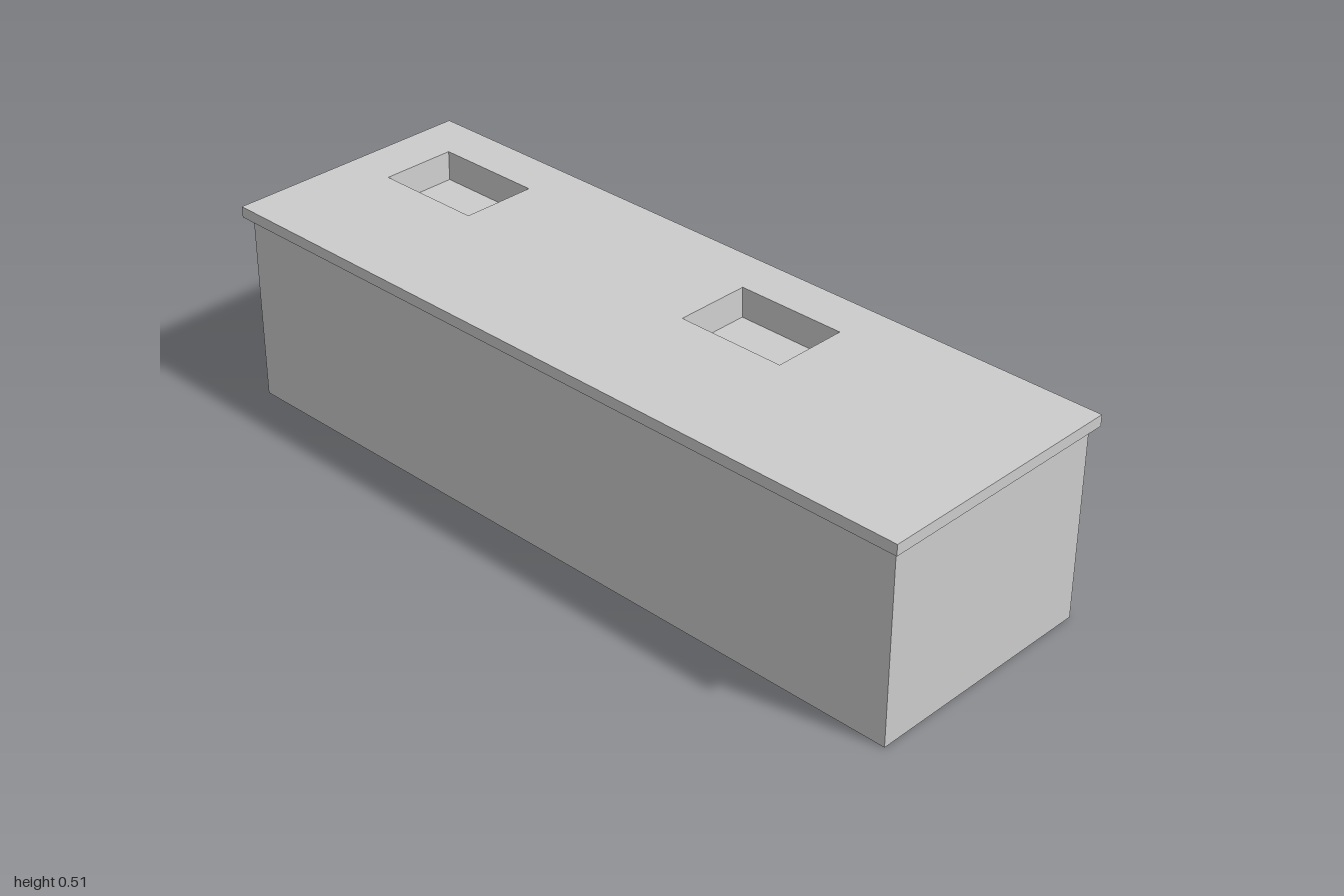
import * as THREE from 'three';

const grey = new THREE.MeshStandardMaterial({ color: 0xcccccc, side: THREE.DoubleSide });

function add(parent, name, geometry, x = 0, y = 0, z = 0) {
  const mesh = new THREE.Mesh(geometry, grey);
  mesh.name = name;
  mesh.position.set(x, y, z);
  parent.add(mesh);
  return mesh;
}

// Box with chosen faces left out (0 +x, 1 -x, 2 +y, 3 -y, 4 +z, 5 -z)
function openBox(w, h, d, omit) {
  const geo = new THREE.BoxGeometry(w, h, d);
  const index = Array.from(geo.index.array).filter((_, i) => !omit.includes(Math.floor(i / 6)));
  geo.setIndex(index);
  geo.clearGroups();
  return geo;
}

// Arched pull: runs along y, bows out to +x, with an oval section
function pullGeometry(half, reach, radius, across) {
  const points = [[0, -half], [0.55, -half * 0.88], [0.92, -half * 0.5], [1, 0],
    [0.92, half * 0.5], [0.55, half * 0.88], [0, half]]
    .map(([x, y]) => new THREE.Vector3(x * (reach - radius), y, 0));
  const geo = new THREE.TubeGeometry(new THREE.CatmullRomCurve3(points), 32, radius, 12);
  geo.scale(1, 1, across / radius);
  geo.computeVertexNormals();
  return geo;
}

export function createModel() {
  const model = new THREE.Group();
  model.name = 'kitchenCounter';

  const bodyTop = 0.485, slabTop = 0.513;
  const sinkX = 0.103, sinkW = 0.195, sinkD = 0.285, sinkDepth = 0.072;
  const sinkZ = [-0.727, 0.25];

  // Hollow cabinet body, open underneath
  add(model, 'cabinetBody', openBox(0.62, bodyTop, 1.966, [2, 3]), -0.008, bodyTop / 2, 0.001);

  // Countertop slab with two sink cutouts (shape y becomes -z)
  const slab = new THREE.Shape([[-0.336, -1], [0.32, -1], [0.32, 1], [-0.336, 1]]
    .map(([x, y]) => new THREE.Vector2(x, y)));
  for (const z of sinkZ) {
    const x0 = sinkX - sinkW / 2, x1 = sinkX + sinkW / 2;
    const y0 = -z - sinkD / 2, y1 = -z + sinkD / 2;
    slab.holes.push(new THREE.Path([[x0, y0], [x0, y1], [x1, y1], [x1, y0]]
      .map(([x, y]) => new THREE.Vector2(x, y))));
  }
  const top = new THREE.ExtrudeGeometry(slab, { depth: slabTop - bodyTop, bevelEnabled: false });
  top.rotateX(-Math.PI / 2);
  add(model, 'countertop', top, 0, bodyTop, 0);

  // Sink basins, slightly narrower at the floor
  for (const z of sinkZ) {
    const basin = openBox(sinkW, sinkDepth, sinkD, [2]);
    const pos = basin.attributes.position;
    for (let i = 0; i < pos.count; i++) {
      if (pos.getY(i) > 0) continue;
      pos.setX(i, pos.getX(i) - Math.sign(pos.getX(i)) * 0.005);
      pos.setZ(i, pos.getZ(i) - Math.sign(pos.getZ(i)) * 0.005);
    }
    basin.computeVertexNormals();
    add(model, 'sinkBasin', basin, sinkX, slabTop - sinkDepth / 2 - 0.0005, z);
  }

  // Four bays, each with a drawer above a door
  const drawerPull = pullGeometry(0.053, 0.024, 0.0055, 0.008);
  const doorPull = pullGeometry(0.051, 0.0155, 0.004, 0.006);
  const drawerFront = new THREE.BoxGeometry(0.01, 0.133, 0.46);
  const doorFront = new THREE.BoxGeometry(0.01, 0.31, 0.46);
  for (let i = 0; i < 4; i++) {
    const z = 0.743 - i * 0.4885;
    const bay = new THREE.Group();
    bay.name = 'bay' + (i + 1);
    bay.position.z = z;
    model.add(bay);
    add(bay, 'drawerFront', drawerFront, 0.307, 0.4085, 0);
    add(bay, 'doorFront', doorFront, 0.307, 0.167, 0);
    add(bay, 'drawerHandle', drawerPull, 0.312, 0.444, 0).rotation.x = Math.PI / 2;
    add(bay, 'doorHandle', doorPull, 0.312, 0.245, -0.2);
  }
  return model;
}
